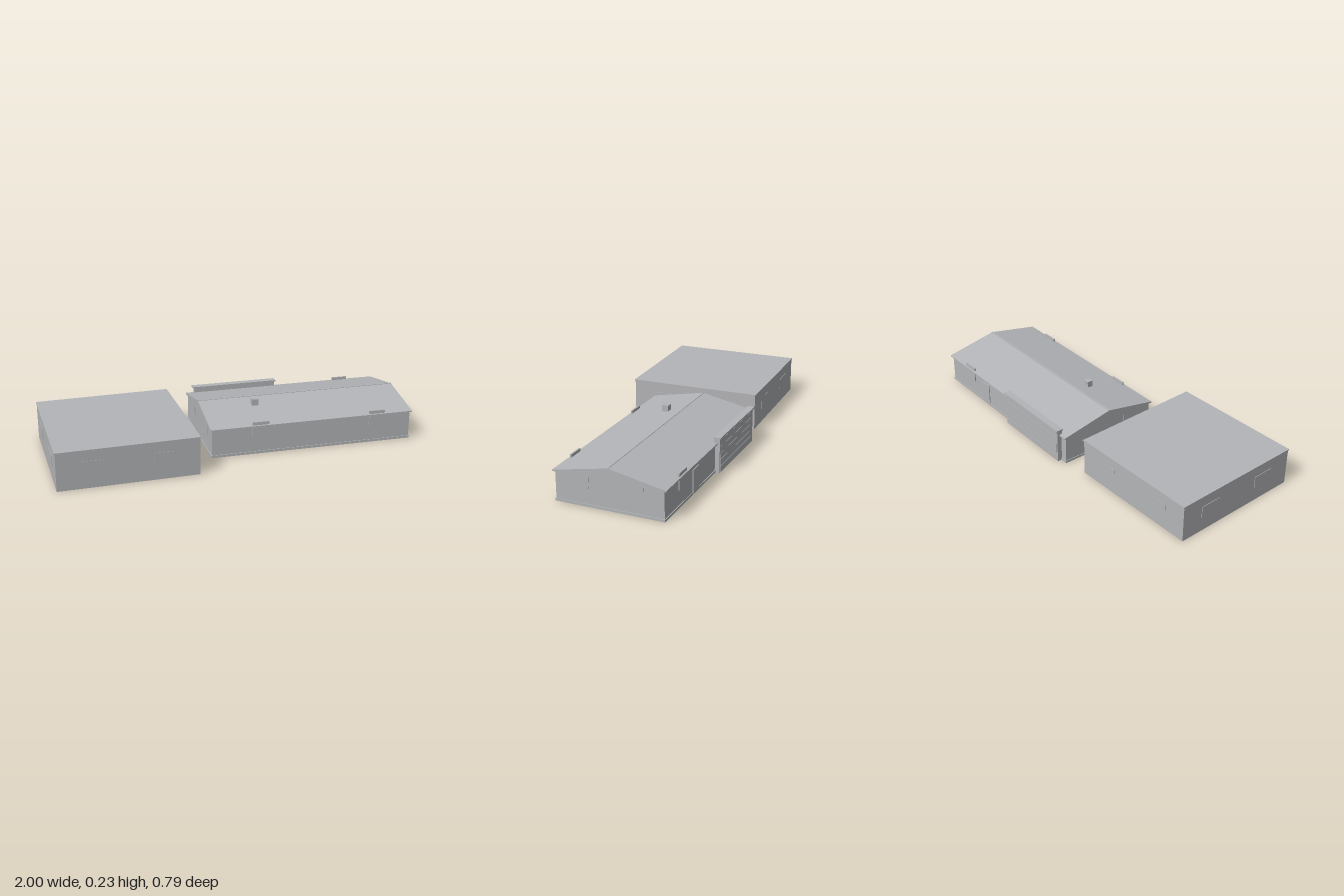
import * as THREE from 'three';

const grey = new THREE.MeshStandardMaterial({ color: 0xb4b5b8 });
grey.name = 'pale grey';

// Box given by its centre x, z, its bottom and its size
function box(parent, name, w, h, d, x, y, z, turn = 0) {
  const mesh = new THREE.Mesh(new THREE.BoxGeometry(w, h, d), grey);
  mesh.name = name;
  mesh.position.set(x, y + h / 2, z);
  mesh.rotation.y = turn;
  parent.add(mesh);
  return mesh;
}

// Square hall with a thin overhanging flat roof and two windows per side
function flatHall() {
  const hall = new THREE.Group();
  hall.name = 'flatHall';
  box(hall, 'hallWalls', 0.71, 0.194, 0.712, 0, 0, 0);
  box(hall, 'hallRoof', 0.716, 0.006, 0.72, 0, 0.194, 0);
  for (let side = 0; side < 4; side++) {
    const face = new THREE.Group();
    face.name = 'hallSide';
    face.rotation.y = side * Math.PI / 2;
    for (const x of [-0.18, 0.18]) box(face, 'hallWindow', 0.115, 0.062, 0.005, x, 0.079, 0.355);
    hall.add(face);
  }
  hall.position.set(-0.61, 0, -0.0025);
  hall.rotation.y = -0.098;
  return hall;
}

// Long gabled house with a plinth, chimney and rear shutter bay
function gabledHouse() {
  const house = new THREE.Group();
  house.name = 'gabledHouse';
  box(house, 'plinth', 1.095, 0.013, 0.562, 0, 0, 0);
  box(house, 'houseWalls', 1.088, 0.142, 0.555, 0, 0.011, 0);

  // Roof cross-section, extruded along the ridge
  const section = new THREE.Shape([
    [-0.29, 0.151], [0.29, 0.151], [0.29, 0.157], [0, 0.214], [-0.29, 0.157],
  ].map(([z, y]) => new THREE.Vector2(z, y)));
  const roofGeometry = new THREE.ExtrudeGeometry(section, { depth: 1.105, bevelEnabled: false });
  roofGeometry.translate(0, 0, -0.5525);
  roofGeometry.rotateY(Math.PI / 2);
  const roof = new THREE.Mesh(roofGeometry, grey);
  roof.name = 'gableRoof';
  house.add(roof);
  box(house, 'ridgeCap', 1.105, 0.003, 0.008, 0, 0.2125, 0);
  box(house, 'chimney', 0.034, 0.034, 0.034, -0.264, 0.197, 0.086);

  // Long-side windows rise slightly through the eaves
  for (const [x, z] of [[-0.285, 0.278], [0.356, 0.278], [0.352, -0.278]]) {
    box(house, 'tallWindow', 0.088, 0.083, 0.009, x, 0.092, z);
  }
  for (const x of [-0.545, 0.545]) {
    for (const z of [-0.136, 0.142]) box(house, 'gableWindow', 0.004, 0.064, 0.077, x, 0.091, z);
  }
  box(house, 'rearDoor', 0.07, 0.125, 0.008, 0.2, 0.002, -0.278);

  // Shutter bay with a lid and horizontal slats
  box(house, 'shutterBay', 0.464, 0.183, 0.03, -0.275, 0, -0.288);
  box(house, 'shutterLid', 0.48, 0.008, 0.037, -0.275, 0.183, -0.2915);
  for (let i = 0; i < 5; i++) {
    box(house, 'shutterSlat', 0.45, 0.033, 0.002, -0.275, 0.003 + i * 0.035, -0.3035);
  }
  house.position.set(0.409, 0, 0.02);
  house.rotation.y = -0.1317;
  return house;
}

export function createModel() {
  const model = new THREE.Group();
  model.name = 'buildings';
  model.add(flatHall(), gabledHouse());
  return model;
}
